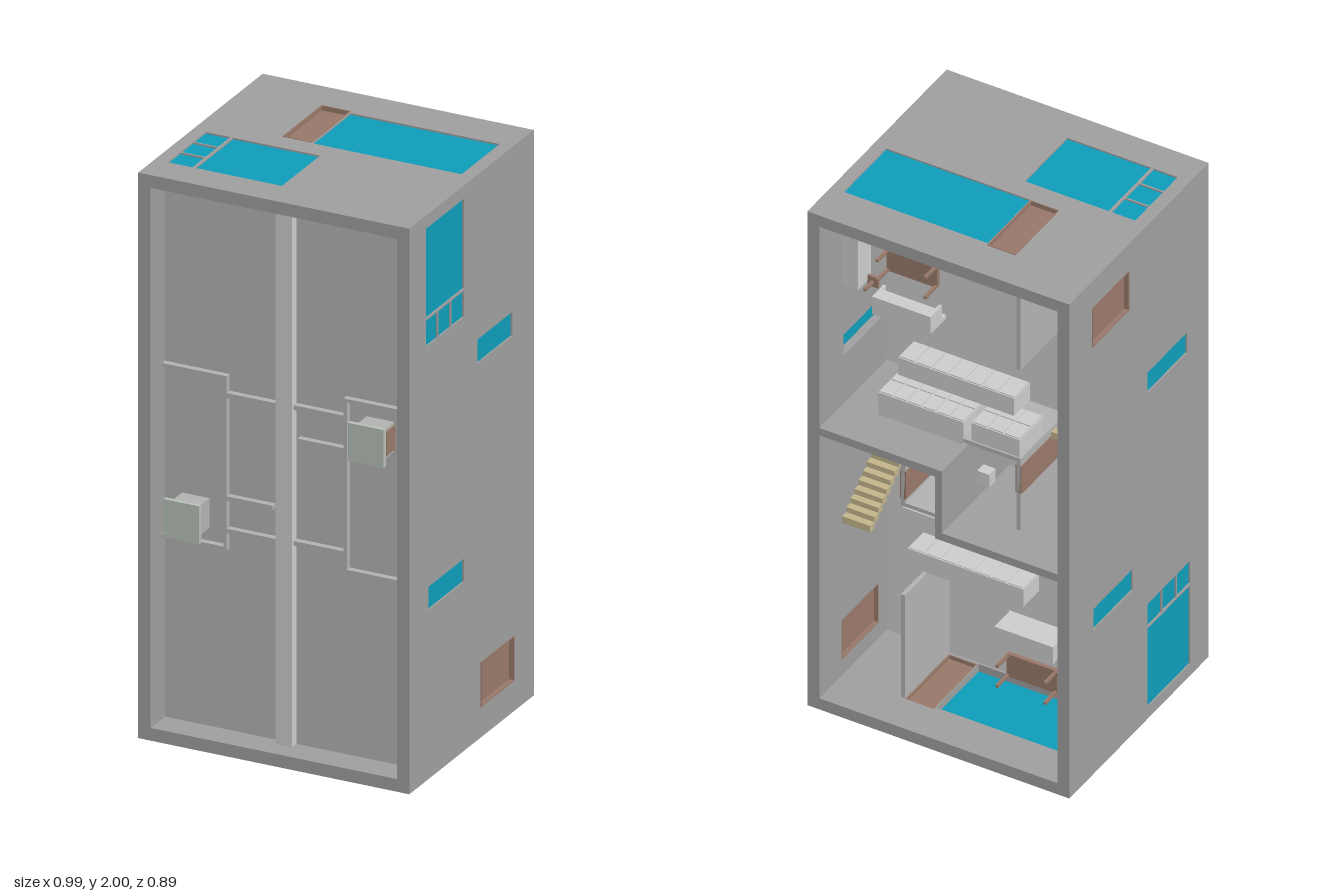
import * as THREE from 'three';

const mat = (color) => new THREE.MeshStandardMaterial({ color });
const grey = mat(0xcccccc), wallGrey = mat(0x9e9e9e), roofGrey = mat(0xb1b1b1), spineGrey = mat(0xc5c5c5);
const glass = mat(0x0e9cb8), wood = mat(0x977869), tan = mat(0xc2b48a), pale = mat(0xb6bfb6);

const W = 0.492, D = 0.442, T = 0.045; // half width, half depth, wall thickness
const CEIL = -0.015, FLOOR = -0.3;     // lower storey; "up" in the house is +z

// Box given by its extents along each axis
function box(parent, name, x0, x1, y0, y1, z0, z1, m = grey) {
  const mesh = new THREE.Mesh(new THREE.BoxGeometry(x1 - x0, y1 - y0, z1 - z0), m);
  mesh.position.set((x0 + x1) / 2, (y0 + y1) / 2, (z0 + z1) / 2);
  mesh.name = name;
  parent.add(mesh);
}

function rectPath(P, a0, a1, b0, b1) {
  const p = new P();
  p.moveTo(a0, b0); p.lineTo(a1, b0); p.lineTo(a1, b1); p.lineTo(a0, b1); p.closePath();
  return p;
}

// Wall panel in its own plane; openings are [a0, a1, b0, b1, isDoor]
function wall(name, a0, a1, b0, b1, openings) {
  const g = new THREE.Group();
  g.name = name;
  const shape = rectPath(THREE.Shape, a0, a1, b0, b1);
  for (const [p, q, r, s] of openings) shape.holes.push(rectPath(THREE.Path, p, q, r, s));
  const panel = new THREE.Mesh(new THREE.ExtrudeGeometry(shape, { depth: T, bevelEnabled: false }), wallGrey);
  panel.name = 'wallPanel';
  g.add(panel);
  for (const [p, q, r, s, door] of openings) {
    if (!door) { box(g, 'windowPane', p, q, r, s, T - 0.016, T - 0.006, glass); continue; }
    const f = 0.004, o = T + 0.002;
    box(g, 'door', p, q, r, s, T - 0.03, T - 0.015, wood);
    box(g, 'doorFrame', p, p + f, r, s, 0, o, wood);
    box(g, 'doorFrame', q - f, q, r, s, 0, o, wood);
    box(g, 'doorFrame', p, q, r, r + f, 0, o, wood);
    box(g, 'doorFrame', p, q, s - f, s, 0, o, wood);
  }
  return g;
}

// Counter along x; cabinet fronts in n columns and the given rows on each listed face (y, outward sign)
function counter(parent, name, x0, x1, y0, y1, z1, n, rows, faces) {
  const g = new THREE.Group();
  g.name = name;
  box(g, 'counterBody', x0, x1, y0, y1, FLOOR, z1);
  const w = (x1 - x0) / n, h = (z1 - FLOOR) / rows;
  for (const [y, s] of faces)
    for (let i = 0; i < n; i++)
      for (let j = 0; j < rows; j++)
        box(g, 'cabinetFront', x0 + i * w + 0.003, x0 + (i + 1) * w - 0.003,
          y - 0.003, y + 0.003 + s * 0.001, FLOOR + j * h + 0.004, FLOOR + (j + 1) * h - 0.004);
  parent.add(g);
}

function apartment() {
  const g = new THREE.Group();

  // Side wall, drawn in (-z, y)
  const side = wall('sideWall', -D, D, 0, 2, [
    [-0.325, -0.055, 1.635, 1.953],
    [-0.325, -0.242, 1.535, 1.627], [-0.236, -0.15, 1.535, 1.627], [-0.144, -0.055, 1.535, 1.627],
    [0.042, 0.29, 1.332, 1.417],
    [-0.305, -0.055, 0.598, 0.68],
    [0.065, 0.3, 0.108, 0.267, true],
  ]);
  side.rotation.y = Math.PI / 2;
  side.position.x = W - T;
  g.add(side);

  // End wall, drawn in (x, -z)
  const end = wall('endWall', -(W - T), W - T, -D, D, [
    [-0.097, 0.445, 0.022, 0.292],
    [-0.207, -0.1, 0.025, 0.303, true],
    [-0.345, -0.03, -0.325, -0.055],
    [-0.445, -0.355, -0.325, -0.238], [-0.445, -0.355, -0.232, -0.147], [-0.445, -0.355, -0.141, -0.055],
  ]);
  end.rotation.x = -Math.PI / 2;
  end.position.y = 2 - T;
  g.add(end);

  // Party wall half, partition and bathroom
  box(g, 'partyWall', -0.012, W - T, 1.11, 1.14, -D, CEIL, wallGrey);
  box(g, 'hallPartition', -0.225, -0.21, 1.54, 2 - T, FLOOR, CEIL, roofGrey);
  box(g, 'bathroomWall', -0.225, -0.21, 0.89, 1.18, FLOOR, CEIL, roofGrey);
  box(g, 'bathroomEndWall', -0.21, 0, 1.165, 1.18, FLOOR, CEIL, roofGrey);
  box(g, 'bathroomDoor', -0.229, -0.206, 1.04, 1.15, FLOOR, -0.07, wood);
  box(g, 'washbasin', -0.06, -0.014, 0.95, 1.0, -0.22, -0.18);

  // Stairs rising toward the ceiling
  const n = 11, rise = (CEIL - FLOOR) / n, stairs = new THREE.Group();
  stairs.name = 'stairs';
  for (let i = 0; i < n; i++) {
    const y = 1.335 - i * 0.02, z = FLOOR + i * rise;
    box(stairs, 'stairTread', -0.445, -0.34, y - 0.026, y, z, z + rise, tan);
  }
  g.add(stairs);

  // Kitchen
  counter(g, 'kitchenCounter', -0.01, 0.31, 1.155, 1.245, -0.15, 6, 2, [[1.245, 1]]);
  counter(g, 'kitchenCounterShort', -0.22, -0.04, 1.185, 1.255, -0.15, 3, 2, [[1.255, 1]]);
  counter(g, 'kitchenIsland', -0.2, 0.235, 1.345, 1.415, -0.2, 7, 1, [[1.415, 1], [1.345, -1]]);

  // Living room
  box(g, 'tallCabinet', 0.385, 0.445, 1.63, 1.83, FLOOR, -0.22);
  box(g, 'sofaSeat', 0.13, 0.33, 1.56, 1.615, FLOOR + 0.01, -0.24);
  box(g, 'sofaBack', 0.12, 0.34, 1.545, 1.56, FLOOR + 0.01, -0.19);
  for (const x of [0.12, 0.33]) box(g, 'sofaArm', x, x + 0.01, 1.56, 1.615, FLOOR + 0.01, -0.215);
  box(g, 'tableTop', 0.13, 0.32, 1.69, 1.78, -0.23, -0.215, wood);
  for (const x of [0.13, 0.31]) for (const y of [1.69, 1.77])
    box(g, 'tableLeg', x, x + 0.01, y, y + 0.01, FLOOR, -0.23, wood);
  box(g, 'stoolSeat', 0.34, 0.38, 1.62, 1.66, -0.25, -0.24, wood);
  box(g, 'stoolLeg', 0.355, 0.365, 1.635, 1.645, FLOOR, -0.25, wood);

  // Roof curbs
  const R = 0.34, C = 0.362;
  box(g, 'roofCurb', 0.212, 0.224, 0.696, 1.312, R, C, roofGrey);
  for (const y of [0.696, 1.3]) box(g, 'roofCurb', 0.224, W - T, y, y + 0.012, R, C, roofGrey);
  for (const [x, y] of [[0.03, 0.755], [0.045, 1.12], [0.03, 1.235]])
    box(g, 'roofCurb', x, 0.212, y, y + 0.016, R, C, roofGrey);

  // Roof hatch with a cap raised on a neck
  box(g, 'hatchBox', 0.285, 0.385, 1.15, 1.255, R, 0.41, roofGrey);
  box(g, 'hatchNeck', 0.3, 0.37, 1.165, 1.24, 0.41, 0.43, roofGrey);
  box(g, 'hatchPanel', 0.385, 0.39, 1.16, 1.245, R, 0.405, wood);
  box(g, 'hatchCap', 0.27, 0.4, 1.135, 1.27, 0.428, 0.444, pale);
  return g;
}

export function createModel() {
  const model = new THREE.Group();
  model.name = 'duplexHouse';

  // Two identical homes, one turned half round about the centre
  const a = apartment(), b = apartment();
  a.name = 'upperHome';
  b.name = 'lowerHome';
  b.rotation.z = Math.PI;
  b.position.y = 2;
  model.add(a, b);

  // Shared slabs, party wall link and roof spine
  const i = W - T;
  box(model, 'storeySlab', -i, i, T, 2 - T, CEIL, 0.04);
  box(model, 'roofSlab', -i, i, T, 2 - T, 0.328, 0.34, roofGrey);
  box(model, 'partyWallLink', -0.013, 0.013, 0.86, 1.14, -D, CEIL, wallGrey);
  box(model, 'roofSpine', -0.03, 0.03, T, 2 - T, 0.34, 0.372, spineGrey);
  return model;
}
